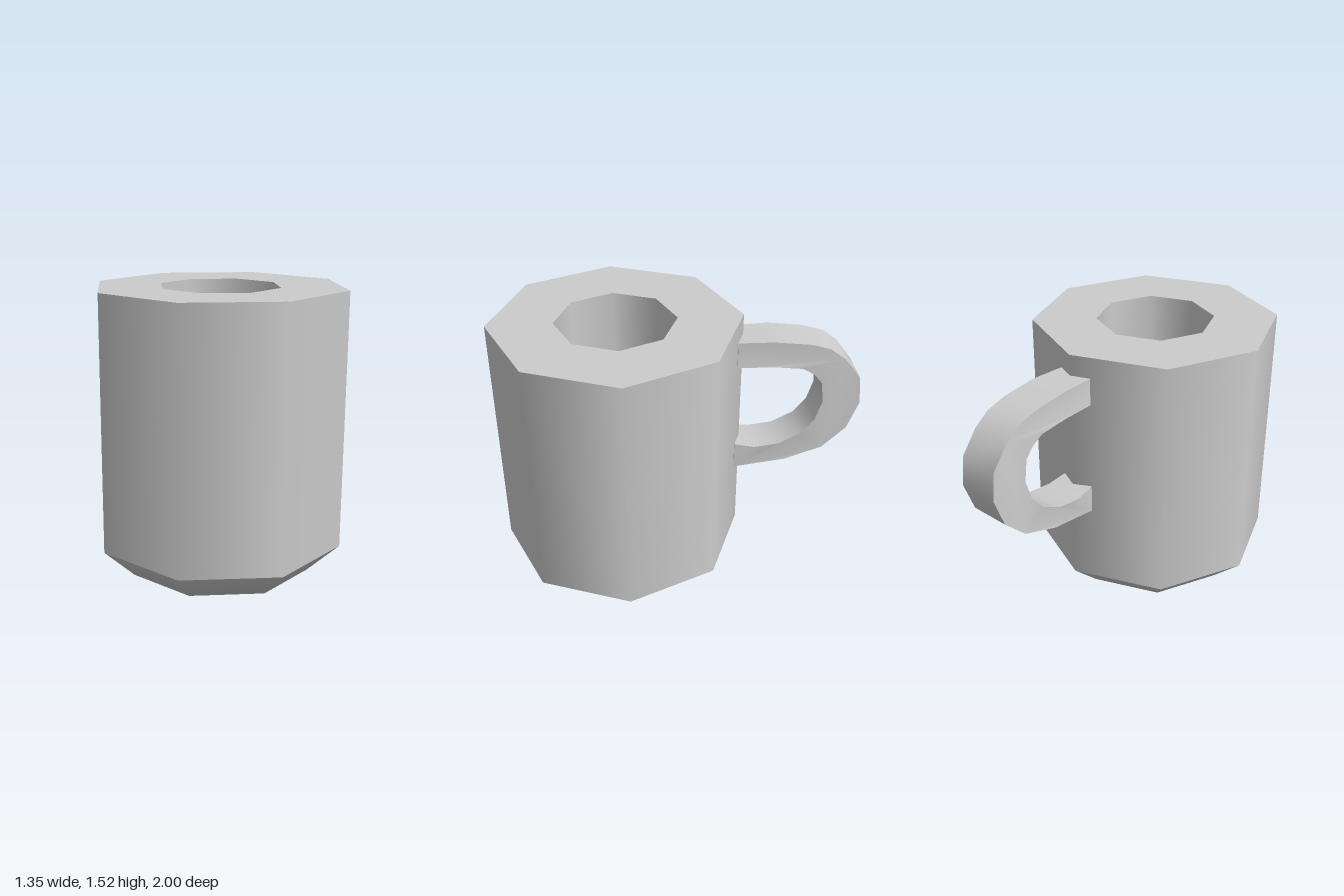
import * as THREE from 'three';
import { toCreasedNormals } from 'three/addons/utils/BufferGeometryUtils.js';

const SIDES = 8;
const CUP_Z = 0.325; // cup axis, moved forward to make room for the handle

const material = new THREE.MeshStandardMaterial({ color: 0xcccccc });

// One eight-sided surface of revolution; separate bands keep the edges between them sharp
function band(name, points) {
  const profile = points.map(([r, y]) => new THREE.Vector2(r, y));
  const mesh = new THREE.Mesh(new THREE.LatheGeometry(profile, SIDES), material);
  mesh.name = name;
  return mesh;
}

function createCup() {
  const cup = new THREE.Group();
  cup.name = 'cup';
  const outer = 0.675, inner = 0.325, foot = 0.505;
  const top = 1.52, bevel = 0.16, floor = 0.16;
  cup.add(
    band('base', [[0, 0], [foot, 0], [outer, bevel]]),
    band('outerWall', [[outer, bevel], [outer, top]]),
    band('rim', [[outer, top], [inner, top]]),
    band('innerWall', [[inner, top], [inner, floor]]),
    band('cupFloor', [[inner, floor], [0, floor]])
  );
  cup.position.z = CUP_Z;
  return cup;
}

function createHandle() {
  // Side outline as [distance behind the centre, height]
  const outside = [
    [0.31, 1.405], [0.5, 1.405], [0.7, 1.38], [0.81, 1.345], [0.895, 1.28], [0.985, 1.16],
    [1, 1], [0.94, 0.84], [0.81, 0.715], [0.6, 0.645], [0.31, 0.605],
  ];
  const inside = [
    [0.31, 0.76], [0.42, 0.74], [0.56, 0.755], [0.68, 0.815], [0.755, 0.905], [0.79, 1.02],
    [0.775, 1.14], [0.73, 1.195], [0.665, 1.235], [0.5, 1.255], [0.31, 1.255],
  ];
  const shape = new THREE.Shape([...outside, ...inside].map(([d, y]) => new THREE.Vector2(d, y)));
  const width = 0.225;
  const geometry = new THREE.ExtrudeGeometry(shape, { depth: width, bevelEnabled: false });
  geometry.translate(0, 0, -width / 2);
  geometry.rotateY(Math.PI / 2);

  // Narrow the two ends slightly where they meet the cup
  const pos = geometry.attributes.position;
  for (let i = 0; i < pos.count; i++) {
    if (pos.getZ(i) > -0.35) pos.setX(i, pos.getX(i) * 0.92);
  }
  const mesh = new THREE.Mesh(toCreasedNormals(geometry, 1), material);
  mesh.name = 'handle';
  return mesh;
}

export function createModel() {
  const model = new THREE.Group();
  model.name = 'mug';
  model.add(createCup(), createHandle());
  return model;
}
